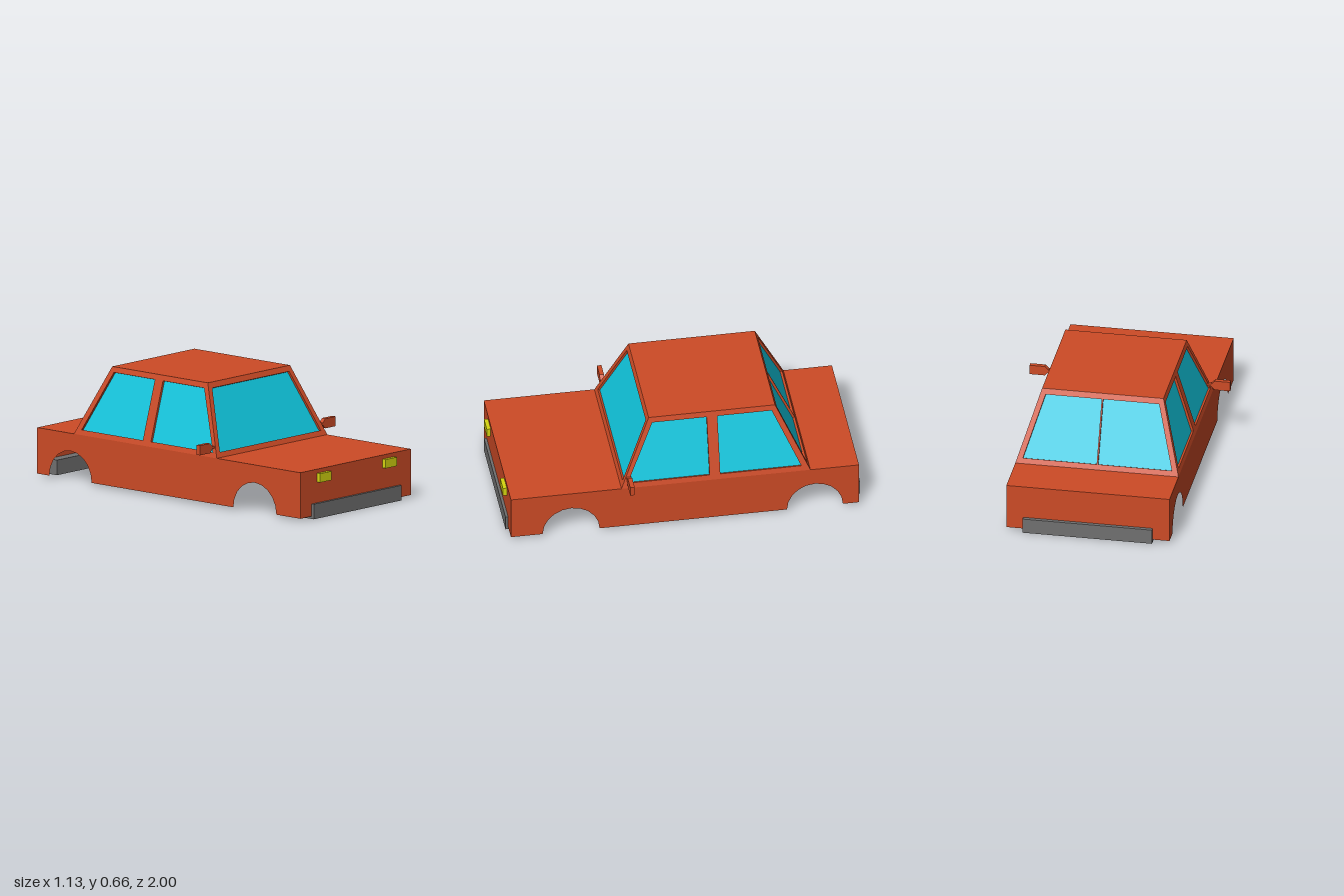
import * as THREE from 'three';

const paint = new THREE.MeshStandardMaterial({ color: 0xcd4b26, side: THREE.DoubleSide });
paint.name = 'orange paint';
const glass = new THREE.MeshStandardMaterial({ color: 0x10c8e0, side: THREE.DoubleSide });
glass.name = 'blue glass';
const lamp = new THREE.MeshStandardMaterial({ color: 0xd6d610 });
lamp.name = 'yellow lamp';
const rubber = new THREE.MeshStandardMaterial({ color: 0x707070 });
rubber.name = 'grey bumper';

// Main dimensions
const HALF_W = 0.46, HALF_L = 0.978, SILL = 0.015, DECK = 0.275, ROOF = 0.662;
const ROOF_W = 0.342, BASE_F = 0.357, BASE_R = -0.705, ROOF_F = 0.185, ROOF_R = -0.525;

const toShape = pts => new THREE.Shape(pts.map(p => new THREE.Vector2(p[0], p[1])));

function add(parent, name, geometry, material) {
  const mesh = new THREE.Mesh(geometry, material);
  mesh.name = name;
  parent.add(mesh);
  return mesh;
}

function box(parent, name, material, x0, x1, y0, y1, z0, z1) {
  const mesh = add(parent, name, new THREE.BoxGeometry(x1 - x0, y1 - y0, z1 - z0), material);
  mesh.position.set((x0 + x1) / 2, (y0 + y1) / 2, (z0 + z1) / 2);
}

// Horizontal sheet facing up
function deck(parent, name, halfWidth, y, z0, z1) {
  const geo = new THREE.PlaneGeometry(halfWidth * 2, z1 - z0).rotateX(-Math.PI / 2);
  add(parent, name, geo, paint).position.set(0, y, (z0 + z1) / 2);
}

// Side outline with two wheel arches, drawn as (z, y)
function sideShape() {
  const pts = [[-HALF_L, DECK], [-HALF_L, SILL]];
  for (const [centre, radius] of [[-0.73, 0.157], [0.64, 0.16]]) {
    for (let i = 0; i <= 10; i++) {
      const a = Math.PI * (1 - i / 10);
      pts.push([centre + Math.cos(a) * radius, SILL + Math.sin(a) * 0.16]);
    }
  }
  pts.push([HALF_L, SILL], [HALF_L, DECK]);
  return toShape(pts);
}

// Sloping cabin wall: outline and window holes given as (along, height)
function cabinWall(parent, name, u, baseOut, topOut, outline, windows) {
  const rise = ROOF - DECK;
  const out = new THREE.Vector3().crossVectors(u, new THREE.Vector3(0, 1, 0));
  const v = out.clone().multiplyScalar(topOut - baseOut).add(new THREE.Vector3(0, rise, 0));
  const stretch = v.length() / rise;
  v.normalize();
  const n = new THREE.Vector3().crossVectors(u, v);
  const local = pts => pts.map(([a, y]) => [a, (y - DECK) * stretch]);

  const group = new THREE.Group();
  group.name = name;
  const frame = toShape(local(outline));
  for (const w of windows) {
    const pane = toShape(local(w));
    frame.holes.push(new THREE.Path(pane.getPoints()));
    add(group, 'windowGlass', new THREE.ShapeGeometry(pane).translate(0, 0, -0.013), glass);
  }
  const geo = new THREE.ExtrudeGeometry(frame, { depth: 0.015, bevelEnabled: false });
  add(group, 'windowFrame', geo.translate(0, 0, -0.015), paint);

  group.quaternion.setFromRotationMatrix(new THREE.Matrix4().makeBasis(u, v, n));
  group.position.copy(out).multiplyScalar(baseOut).setY(DECK);
  parent.add(group);
}

export function createModel() {
  const car = new THREE.Group();
  car.name = 'car';

  // Lower body: an open shell without a floor
  for (const s of [-1, 1]) {
    const side = add(car, s > 0 ? 'leftSide' : 'rightSide', new THREE.ShapeGeometry(sideShape(), 1), paint);
    side.rotation.y = -Math.PI / 2;
    side.position.x = s * HALF_W;
    const end = add(car, s > 0 ? 'frontPanel' : 'rearPanel',
      new THREE.PlaneGeometry(HALF_W * 2, DECK - SILL), paint);
    end.rotation.y = s > 0 ? 0 : Math.PI;
    end.position.set(0, (DECK + SILL) / 2, s * HALF_L);
  }
  deck(car, 'hood', HALF_W, DECK, BASE_F, HALF_L);
  deck(car, 'trunkLid', HALF_W, DECK, -HALF_L, BASE_R);
  deck(car, 'roof', ROOF_W, ROOF, ROOF_R, ROOF_F);

  // Cabin front and rear; the rear window has a thin centre bar
  const endOutline = [[-HALF_W, DECK], [HALF_W, DECK], [ROOF_W, ROOF], [-ROOF_W, ROOF]];
  const lo = 0.303, hi = 0.632;
  cabinWall(car, 'windshield', new THREE.Vector3(1, 0, 0), BASE_F, ROOF_F, endOutline,
    [[[-0.42, lo], [0.42, lo], [0.32, hi], [-0.32, hi]]]);
  cabinWall(car, 'rearWindow', new THREE.Vector3(-1, 0, 0), -BASE_R, -ROOF_R, endOutline,
    [-1, 1].map(s => [[s * 0.004, lo], [s * 0.42, lo], [s * 0.32, hi], [s * 0.004, hi]]));

  // Cabin sides, each with two windows around a pillar
  for (const s of [-1, 1]) {
    const along = pts => pts.map(([z, y]) => [-s * z, y]);
    cabinWall(car, s > 0 ? 'leftWindows' : 'rightWindows', new THREE.Vector3(0, 0, -s), HALF_W, ROOF_W,
      along([[BASE_F, DECK], [BASE_R, DECK], [ROOF_R, ROOF], [ROOF_F, ROOF]]),
      [along([[0.32, lo], [-0.14, lo], [-0.14, hi], [0.166, hi]]),
        along([[-0.2, lo], [-0.655, lo], [-0.505, hi], [-0.2, hi]])]);
  }

  // Bumpers and headlights pass through the end panels
  box(car, 'frontBumper', rubber, -0.365, 0.365, 0, 0.085, 0.913, 0.993);
  box(car, 'rearBumper', rubber, -0.365, 0.365, 0, 0.085, -1, -0.915);
  for (const s of [-1, 1]) {
    const x = s * 0.273;
    box(car, 'headlight', lamp, x - 0.047, x + 0.047, 0.202, 0.252, 0.95, 1);
  }

  // Door mirrors on tapered stalks
  for (const s of [-1, 1]) {
    const pts = [[0.435, 0.325], [0.458, 0.325], [0.48, 0.303], [0.565, 0.303],
      [0.565, 0.358], [0.48, 0.358], [0.458, 0.337], [0.435, 0.337]];
    const shape = toShape(pts.map(([x, y]) => [s * x, y]));
    const geo = new THREE.ExtrudeGeometry(shape, { depth: 0.025, bevelEnabled: false });
    add(car, s > 0 ? 'leftMirror' : 'rightMirror', geo, paint).position.z = 0.3;
  }
  return car;
}
